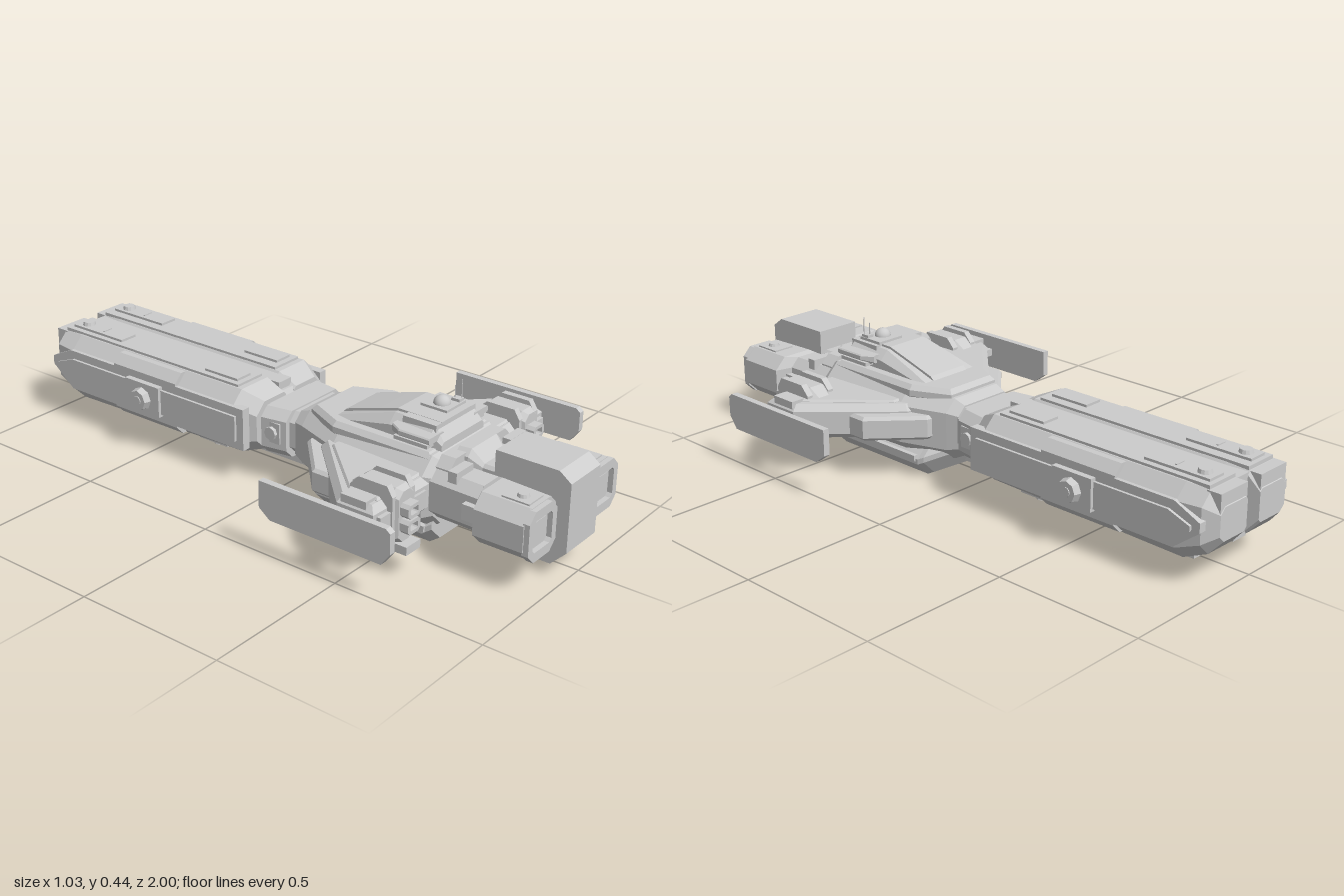
import * as THREE from 'three';

export function createModel() {
  const root = new THREE.Group();
  root.name = 'spacecraft';
  const mat = new THREE.MeshStandardMaterial({ color: 0xcccccc, flatShading: true });
  const smooth = new THREE.MeshStandardMaterial({ color: 0xcccccc });

  const add = (name, geo, m = mat) => {
    const mesh = new THREE.Mesh(geo, m);
    mesh.name = name;
    root.add(mesh);
    return mesh;
  };
  // box from its limits; s mirrors it to the other side
  const box = (name, s, x0, x1, y0, y1, z0, z1) =>
    add(name, new THREE.BoxGeometry(x1 - x0, y1 - y0, z1 - z0)
      .translate(s * (x0 + x1) / 2, (y0 + y1) / 2, (z0 + z1) / 2));

  // chamfered-rectangle sections [z, x0, x1, y0, y1, outer chamfer, inner chamfer], z rising
  function loft(name, s, sections) {
    const rings = sections.map(([z, x0, x1, y0, y1, c, ci = c]) => {
      const [l, r, cl, cr] = s > 0 ? [x0, x1, ci, c] : [-x1, -x0, c, ci];
      return [[r, y0 + cr], [r, y1 - cr], [r - cr, y1], [l + cl, y1],
        [l, y1 - cl], [l, y0 + cl], [l + cl, y0], [r - cr, y0]].map(([x, y]) => [x, y, z]);
    });
    const v = [];
    const tri = (a, b, c) => v.push(...a, ...b, ...c);
    for (let k = 0; k + 1 < rings.length; k++) {
      const a = rings[k], b = rings[k + 1];
      for (let i = 0; i < 8; i++) {
        const j = (i + 1) % 8;
        tri(a[i], a[j], b[j]);
        tri(a[i], b[j], b[i]);
      }
    }
    const first = rings[0], last = rings[rings.length - 1];
    for (let i = 1; i < 7; i++) {
      tri(first[0], first[i + 1], first[i]);
      tri(last[0], last[i], last[i + 1]);
    }
    const g = new THREE.BufferGeometry();
    g.setAttribute('position', new THREE.Float32BufferAttribute(v, 3));
    g.computeVertexNormals();
    return add(name, g);
  }

  const shapeOf = pts => new THREE.Shape(pts.map(p => new THREE.Vector2(p[0], p[1])));
  // outline in (z, y), given thickness across x
  const sidePlate = (name, s, pts, xc, t) =>
    add(name, new THREE.ExtrudeGeometry(shapeOf(pts), { depth: t, bevelEnabled: false })
      .rotateY(-Math.PI / 2).translate(s * xc + t / 2, 0, 0));
  // outline in (x, z), between two heights, with bevelled edges
  const planPlate = (name, s, pts, y0, y1, b) =>
    add(name, new THREE.ExtrudeGeometry(shapeOf(pts.map(p => [s * p[0], p[1]])),
      { depth: y1 - y0 - 2 * b, bevelEnabled: true, bevelThickness: b, bevelSize: b, bevelOffset: -b, bevelSegments: 1 })
      .rotateX(Math.PI / 2).translate(0, y1 - b, 0));
  const knob = (name, x, y, z, r, h, sides = 12) =>
    add(name, new THREE.CylinderGeometry(r * 0.8, r, h, sides).translate(x, y, z));
  // rectangular frame facing +z
  function frame(name, cx, cy, w, h, c, iw, ih, z, d) {
    const oct = (a, b, k) => [[a, -b + k], [a, b - k], [a - k, b], [-a + k, b],
      [-a, b - k], [-a, -b + k], [-a + k, -b], [a - k, -b]];
    const sh = shapeOf(oct(w / 2, h / 2, c));
    sh.holes.push(new THREE.Path(oct(iw / 2, ih / 2, c * 0.35).map(p => new THREE.Vector2(p[0], p[1]))));
    add(name, new THREE.ExtrudeGeometry(sh, { depth: d, bevelEnabled: false }).translate(cx, cy, z));
  }

  // nose block with chamfered ends
  sidePlate('noseBlock', 1, [[0.75, 0.04], [0.95, 0.04], [1, 0.09], [1, 0.31], [0.96, 0.34], [0.75, 0.34]], 0, 0.16);
  loft('noseNeck', 1, [[0.62, -0.09, 0.09, 0.08, 0.31, 0.02], [0.66, -0.085, 0.085, 0.08, 0.31, 0.02],
    [0.7, -0.065, 0.065, 0.09, 0.27, 0.01], [0.76, -0.065, 0.065, 0.09, 0.27, 0.01]]);

  // main hull
  loft('mainHull', 1, [[0.04, -0.12, 0.12, 0.09, 0.26, 0.03], [0.08, -0.135, 0.135, 0.07, 0.275, 0.04],
    [0.24, -0.19, 0.19, 0.06, 0.285, 0.05], [0.58, -0.2, 0.2, 0.06, 0.295, 0.05], [0.61, -0.18, 0.18, 0.08, 0.28, 0.04]]);
  loft('hullCollar', 1, [[0.6, -0.16, 0.16, 0.1, 0.3, 0.03], [0.65, -0.16, 0.16, 0.1, 0.3, 0.03]]);
  planPlate('hullDeck', 1, [[-0.1, 0.09], [0.1, 0.09], [0.16, 0.22], [0.16, 0.58], [-0.16, 0.58], [-0.16, 0.22]], 0.25, 0.3, 0.015);

  // belly keel
  const keel = (z, w, y0, t) => [z, w, y0, t];
  const keelRows = [keel(0.05, 0.08, 0.06, 0.06), keel(0.15, 0.13, 0.01, 0.17), keel(0.17, 0.135, 0, 0.178),
    keel(0.57, 0.135, 0, 0.178), keel(0.6, 0.13, 0.02, 0.17)];
  loft('bellyKeel', 1, keelRows.map(([z, w, y0, t]) => [z, -Math.max(w, t), Math.max(w, t), y0, y0 + 0.11, 0.046]));
  box('keelRim', 1, -0.183, 0.183, 0.055, 0.075, 0.18, 0.58);

  // bridge and canopy
  loft('bridge', 1, [[0.15, -0.085, 0.085, 0.26, 0.285, 0.005], [0.2, -0.118, 0.118, 0.26, 0.3, 0.01],
    [0.27, -0.118, 0.118, 0.26, 0.322, 0.018], [0.4, -0.118, 0.118, 0.26, 0.36, 0.03],
    [0.55, -0.118, 0.118, 0.26, 0.365, 0.025], [0.585, -0.11, 0.11, 0.26, 0.32, 0.01]]);
  sidePlate('canopy', 1, [[0.18, 0.285], [0.21, 0.312], [0.33, 0.348], [0.4, 0.368], [0.56, 0.368], [0.56, 0.3], [0.2, 0.28]], 0, 0.15);
  box('roofPlate', 1, -0.105, 0.1, 0.345, 0.367, 0.44, 0.56);
  box('sensorPad', 1, -0.015, 0.085, 0.36, 0.376, 0.44, 0.535);
  add('sensorDome', new THREE.SphereGeometry(0.027, 20, 10, 0, Math.PI * 2, 0, Math.PI / 2).translate(0.025, 0.375, 0.49), smooth);
  box('antennaBase', 1, 0.058, 0.082, 0.37, 0.385, 0.5, 0.53);
  knob('tallAntenna', 0.076, 0.41, 0.525, 0.002, 0.065, 6);
  knob('shortAntenna', 0.067, 0.4, 0.508, 0.002, 0.05, 6);

  // linking neck
  loft('neck', 1, [[-0.13, -0.15, 0.15, 0.1, 0.27, 0.03], [-0.09, -0.15, 0.15, 0.1, 0.27, 0.03],
    [-0.08, -0.13, 0.13, 0.11, 0.255, 0.03], [0.06, -0.12, 0.12, 0.11, 0.255, 0.03]]);
  loft('neckCollar', 1, [[-0.07, -0.155, 0.155, 0.1, 0.26, 0.03], [0.02, -0.14, 0.14, 0.1, 0.26, 0.03]]);

  // ventral duct with round vents
  box('ventralDuct', 1, -0.06, 0.06, 0.055, 0.12, -0.31, 0.1);
  for (let i = 0; i < 5; i++)
    add('ventralVent', new THREE.TorusGeometry(0.024, 0.008, 6, 16).rotateX(Math.PI / 2).translate(0, 0.055, -0.27 + i * 0.08), smooth);

  // rear spine between the nacelles
  box('rearSpine', 1, -0.03, 0.03, 0.1, 0.296, -0.96, -0.1);

  for (const s of [1, -1]) {
    // front engine pods
    loft('frontPod', s, [[0.6, 0.06, 0.19, 0.11, 0.265, 0.03], [0.77, 0.06, 0.195, 0.11, 0.265, 0.03],
      [0.79, 0.06, 0.248, 0.11, 0.272, 0.04], [0.955, 0.07, 0.248, 0.11, 0.272, 0.04]]);
    frame('podIntakeRim', s * 0.172, 0.19, 0.145, 0.16, 0.03, 0.1, 0.1, 0.95, 0.022);
    box('podIntakeCore', s, 0.137, 0.207, 0.155, 0.225, 0.94, 0.96);
    box('podTopHatch', s, 0.125, 0.2, 0.265, 0.277, 0.85, 0.94);
    knob('podTopKnob', s * 0.165, 0.28, 0.9, 0.02, 0.014);
    box('podBottomHatch', s, 0.11, 0.145, 0.09, 0.12, 0.8, 0.86);
    box('podSideClamp', s, 0.18, 0.215, 0.165, 0.215, 0.73, 0.78);
    box('hullClamp', s, 0.1, 0.185, 0.25, 0.285, 0.66, 0.69);

    // bridge side tubes
    loft('bridgeSideRail', s, [[0.42, 0.08, 0.13, 0.318, 0.345, 0.004], [0.46, 0.08, 0.155, 0.325, 0.345, 0.004],
      [0.57, 0.08, 0.155, 0.325, 0.345, 0.004]]);
    box('bridgeLowerRail', s, 0.08, 0.15, 0.308, 0.32, 0.44, 0.56);
    add('bridgeTube', new THREE.CapsuleGeometry(0.014, 0.07, 4, 10).rotateX(Math.PI / 2).translate(s * 0.125, 0.325, 0.48), smooth);

    // wings
    planPlate('wingRoot', s, [[0.1, 0.12], [0.17, 0.13], [0.32, 0.27], [0.32, 0.4], [0.1, 0.5]], 0.14, 0.22, 0.01);
    planPlate('wing', s, [[0.12, 0.19], [0.19, 0.2], [0.445, 0.46], [0.445, 0.59], [0.12, 0.6]], 0.13, 0.245, 0.02);
    planPlate('wingTopPanel', s, [[0.17, 0.25], [0.2, 0.25], [0.4, 0.47], [0.4, 0.57], [0.17, 0.57]], 0.23, 0.252, 0.006);
    box('wingTrailingVent', s, 0.21, 0.43, 0.16, 0.215, 0.58, 0.605);
    box('wingTipBlock', s, 0.39, 0.44, 0.12, 0.255, 0.47, 0.56);
    box('wingletStrut', s, 0.43, 0.5, 0.175, 0.2, 0.48, 0.55);
    sidePlate('winglet', s, [[0.23, 0.16], [0.27, 0.13], [0.67, 0.13], [0.7, 0.17], [0.7, 0.235], [0.685, 0.247], [0.23, 0.247]], 0.504, 0.022);

    // wing cannons
    loft('wingPod', s, [[0.44, 0.29, 0.37, 0.12, 0.25, 0.02], [0.48, 0.285, 0.375, 0.1, 0.28, 0.02],
      [0.6, 0.285, 0.375, 0.1, 0.28, 0.02], [0.62, 0.295, 0.365, 0.11, 0.27, 0.02]]);
    for (const x of [0.275, 0.36])
      sidePlate('wingPodClamp', s, [[0.46, 0.1], [0.6, 0.095], [0.61, 0.13], [0.61, 0.26], [0.59, 0.292], [0.49, 0.292], [0.46, 0.26]], x + 0.012, 0.022);
    for (const y of [0.165, 0.215]) {
      frame('cannonMuzzle', s * 0.33, y, 0.06, 0.044, 0.01, 0.036, 0.022, 0.61, 0.04);
      box('cannonCore', s, 0.31, 0.35, y - 0.014, y + 0.014, 0.6, 0.625);
    }
    box('wingPodBase', s, 0.298, 0.366, 0.083, 0.11, 0.48, 0.65);

    // neck side actuator
    box('neckActuator', s, 0.11, 0.15, 0.15, 0.22, -0.06, 0.0);
    add('neckActuatorDisc', new THREE.CylinderGeometry(0.022, 0.022, 0.02, 8).rotateZ(Math.PI / 2).translate(s * 0.152, 0.185, -0.03));

    // rear nacelles
    loft('nacelle', s, [[-1, 0.03, 0.155, 0.15, 0.255, 0.02, 0.01], [-0.96, 0.022, 0.19, 0.105, 0.298, 0.04, 0.01],
      [-0.88, 0.02, 0.2, 0.07, 0.302, 0.045, 0.01], [-0.15, 0.02, 0.2, 0.085, 0.302, 0.045, 0.01],
      [-0.08, 0.02, 0.165, 0.105, 0.27, 0.04, 0.01]]);
    box('nacelleTopPlate', s, 0.032, 0.15, 0.29, 0.31, -0.955, -0.17);
    box('nacelleTailCap', s, 0.032, 0.155, 0.235, 0.298, -0.998, -0.95);
    const panel = (i, tip) => [[-0.1 - i, 0.12 + i], [-0.1 - i, 0.262 - i], [-0.88 + i / 2, 0.262 - i],
      [tip + i, 0.22 - i / 2], [tip + i, 0.19], [-0.88 + i / 2, 0.12 + i]];
    sidePlate('nacelleSidePanel', s, panel(0, -0.97), 0.193, 0.03);
    sidePlate('nacelleSideRidge', s, panel(0.028, -0.97), 0.202, 0.03);
    loft('nacelleMidBand', s, [[-0.67, 0.14, 0.208, 0.085, 0.3, 0.03, 0], [-0.39, 0.14, 0.208, 0.085, 0.3, 0.03, 0]]);
    box('hubMount', s, 0.19, 0.228, 0.14, 0.245, -0.6, -0.45);
    add('hub', new THREE.CylinderGeometry(0.034, 0.042, 0.03, 8).rotateZ(-s * Math.PI / 2).translate(s * 0.236, 0.19, -0.525));
    add('hubCore', new THREE.CylinderGeometry(0.016, 0.016, 0.01, 12).rotateZ(Math.PI / 2).translate(s * 0.249, 0.19, -0.525));

    // nacelle hatches above and below
    box('rearTopHatch', s, 0.065, 0.13, 0.3, 0.318, -0.94, -0.71);
    knob('rearTopKnob', s * 0.097, 0.322, -0.9, 0.024, 0.016);
    box('hatchSlot', s, 0.08, 0.115, 0.316, 0.321, -0.815, -0.808);
    box('frontTopHatch', s, 0.065, 0.13, 0.3, 0.318, -0.33, -0.19);
    for (const z of [-0.84, -0.6, -0.3]) {
      box('bottomHatch', s, 0.07, 0.13, 0.062, 0.1, z - 0.06, z + 0.06);
      knob('bottomKnob', s * 0.1, 0.06, z, 0.018, 0.02).visible = true;
    }
  }
  return root;
}
